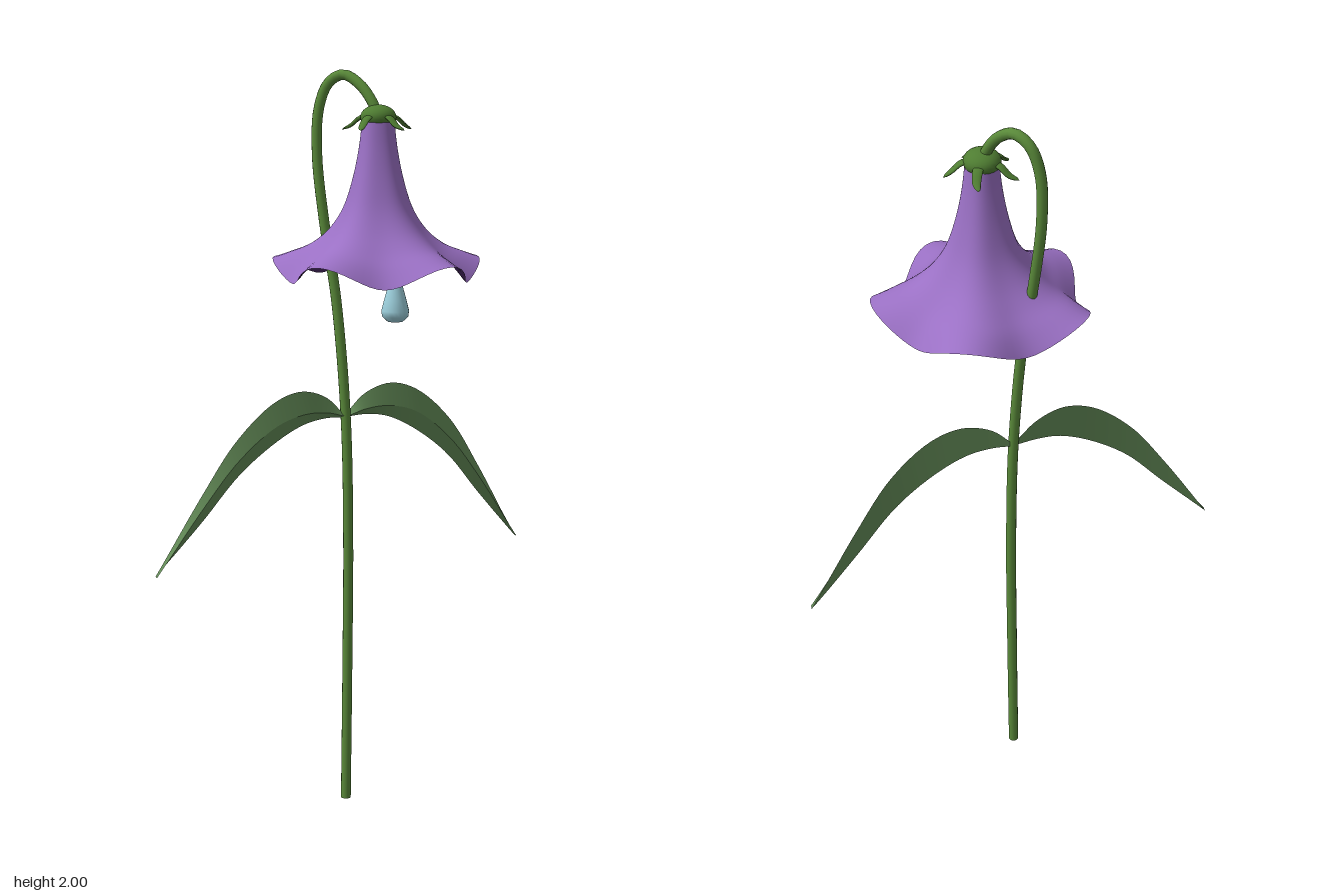
import * as THREE from 'three';
import { mergeVertices } from 'three/addons/utils/BufferGeometryUtils.js';

const mat = (name, color, double = false) => {
  const m = new THREE.MeshStandardMaterial({ color });
  m.name = name;
  if (double) m.side = THREE.DoubleSide;
  return m;
};
const V = (x, y, z) => new THREE.Vector3(x, y, z);

// Welds seams so that shading is smooth all the way round
function smooth(geo) {
  geo.deleteAttribute('uv');
  geo.deleteAttribute('normal');
  const g = mergeVertices(geo, 1e-5);
  g.computeVertexNormals();
  return g;
}

// Surface through rows of points
function loft(rows) {
  const n = rows[0].length, index = [];
  for (let i = 0; i < rows.length - 1; i++)
    for (let j = 0; j < n - 1; j++) {
      const a = i * n + j, b = a + n;
      index.push(a, b, a + 1, b, b + 1, a + 1);
    }
  const g = new THREE.BufferGeometry().setFromPoints(rows.flat());
  g.setIndex(index);
  g.computeVertexNormals();
  return g;
}

// Five-lobed flaring bell; inset > 0 gives the lining, facing inwards
function bellGeometry(inset) {
  const curve = new THREE.SplineCurve([
    [0.262, 1.483], [0.22, 1.513], [0.17, 1.545], [0.125, 1.588], [0.09, 1.645],
    [0.066, 1.72], [0.05, 1.8], [0.042, 1.87],
  ].map(p => new THREE.Vector2(...p)));
  const pts = curve.getPoints(28);
  pts.forEach((p, i) => { if (i) p.x -= inset; });
  if (inset) pts.reverse();
  const g = new THREE.LatheGeometry(pts, 80);
  const pos = g.attributes.position;
  for (let i = 0; i < pos.count; i++) {
    const x = pos.getX(i), y = pos.getY(i), z = pos.getZ(i);
    const r = Math.hypot(x, z), w = (r / 0.262) ** 2;
    const wave = Math.cos(5 * Math.atan2(z, x));
    const k = 1 + (0.023 * w * wave) / r;
    pos.setXYZ(i, x * k, y + 0.028 * w * w * wave, z * k);
  }
  return smooth(g);
}

// Arching leaf with a raised midrib: upper blade, lower blade and back
function leafParts(side, tipY, zPoints) {
  const drop = (1.08 - tipY) / 0.4;
  const line = pts => new THREE.CatmullRomCurve3(pts.map(([x, y]) =>
    V(side * x, y < 1.08 ? 1.08 - (1.08 - y) * drop : y, 0)));
  const upper = line([[0.005, 1.09], [0.06, 1.14], [0.137, 1.163], [0.22, 1.14], [0.33, 1.047], [0.43, 0.9], [0.562, 0.68]]);
  const ridge = line([[0.005, 1.085], [0.06, 1.1], [0.13, 1.103], [0.215, 1.08], [0.325, 0.995], [0.43, 0.867], [0.562, 0.68]]);
  const lower = line([[0.005, 1.08], [0.06, 1.083], [0.127, 1.073], [0.21, 1.033], [0.32, 0.95], [0.43, 0.824], [0.562, 0.68]]);
  const depth = new THREE.SplineCurve(zPoints.map((z, i) => new THREE.Vector2(i, z)));
  const N = 32;
  const row = (curve, dz) => Array.from({ length: N + 1 }, (_, i) => {
    const p = curve.getPoint(i / N);
    p.z = depth.getPoint(Math.min(1, Math.abs(p.x) / 0.562)).y + dz;
    return p;
  });
  const top = row(upper, -0.006), mid = row(ridge, 0.008), low = row(lower, -0.006);
  const strips = [[low, mid], [mid, top], [top, low]];
  return strips.map(s => loft(side > 0 ? s.reverse().map(r => r.slice().reverse()) : s.map(r => r.slice().reverse()).reverse().map(r => r.slice().reverse())));
}

// Flattened, drooping pointed sepal growing along +x
function sepalGeometry() {
  const path = new THREE.CatmullRomCurve3([
    V(0.02, 0.01, 0), V(0.05, 0.004, 0.003), V(0.075, -0.016, 0.002), V(0.096, -0.026, -0.006)]);
  const rows = [];
  for (let i = 0; i <= 10; i++) {
    const t = i / 10, c = path.getPoint(t);
    const w = 0.017 * Math.sqrt(1 - t) * (0.75 + 0.5 * t), h = 0.4 * w;
    rows.push(Array.from({ length: 11 }, (_, j) => {
      const a = (j / 10) * Math.PI * 2;
      return V(c.x + h * Math.sin(a) * 0.4, c.y + h * Math.sin(a), c.z + w * Math.cos(a));
    }));
  }
  return loft(rows);
}

export function createModel() {
  const model = new THREE.Group();
  model.name = 'bellflower';
  const stemGreen = mat('stem green', 0x5a8a3a);
  const calyxGreen = mat('calyx green', 0x4f7d32, true);
  const leafGreen = mat('leaf green', 0x648c58, true);
  const petal = mat('petal purple', 0x9a70c4);
  const lining = mat('inner petal purple', 0x4e2c6a);
  const dew = mat('dew blue', 0x9ccfdc);
  const add = (name, geo, material, parent = model) => {
    const m = new THREE.Mesh(geo, material);
    m.name = name;
    parent.add(m);
    return m;
  };

  // Stem, hooked over at the top
  const stemPath = new THREE.CatmullRomCurve3([
    V(-0.003, 0, -0.062), V(0.002, 0.4, -0.062), V(0.005, 0.75, -0.063), V(0, 1.08, -0.068),
    V(-0.018, 1.4, -0.092), V(-0.042, 1.6, -0.115), V(-0.057, 1.78, -0.128), V(-0.052, 1.9, -0.126),
    V(-0.03, 1.965, -0.112), V(0, 1.986, -0.085), V(0.03, 1.962, -0.045), V(0.052, 1.92, -0.015), V(0.065, 1.88, 0)]);
  add('stem', new THREE.TubeGeometry(stemPath, 120, 0.0138, 12), stemGreen);
  const foot = add('stemFoot', new THREE.CircleGeometry(0.0138, 12), stemGreen);
  foot.rotation.x = Math.PI / 2;
  foot.position.copy(stemPath.getPoint(0));

  // Leaves
  [['leftLeaf', 1, 0.68, [-0.07, -0.084, -0.103, -0.131, -0.162]],
    ['rightLeaf', -1, 0.715, [-0.066, -0.034, -0.006, 0.014, 0.026]]].forEach(([name, side, tipY, z]) => {
    const leaf = new THREE.Group();
    leaf.name = name;
    leafParts(side, tipY, z).forEach((g, i) => add(['lowerBlade', 'upperBlade', 'leafBack'][i], g, leafGreen, leaf));
    model.add(leaf);
  });

  // Hanging flower
  const flower = new THREE.Group();
  flower.name = 'flower';
  flower.position.x = 0.065;
  model.add(flower);
  add('bellOutside', bellGeometry(0), petal, flower);
  add('bellInside', bellGeometry(0.004), lining, flower);

  // Calyx with five sepals
  const cap = add('calyxCap', new THREE.SphereGeometry(0.047, 24, 16), calyxGreen, flower);
  cap.scale.y = 0.68;
  cap.position.y = 1.878;
  const sepal = sepalGeometry();
  for (let i = 0; i < 5; i++) {
    const s = add('sepal', sepal, calyxGreen, flower);
    s.position.y = 1.872;
    s.rotation.y = (i * Math.PI * 2) / 5;
  }

  // Dew drop at the front of the bell
  const drop = [[0, 1.357], [0.02, 1.36], [0.034, 1.373], [0.036, 1.388], [0.029, 1.416], [0.019, 1.452], [0.009, 1.485], [0, 1.508]];
  add('dewDrop', smooth(new THREE.LatheGeometry(drop.map(p => new THREE.Vector2(...p)), 20)), dew, flower).position.z = 0.118;
  return model;
}
